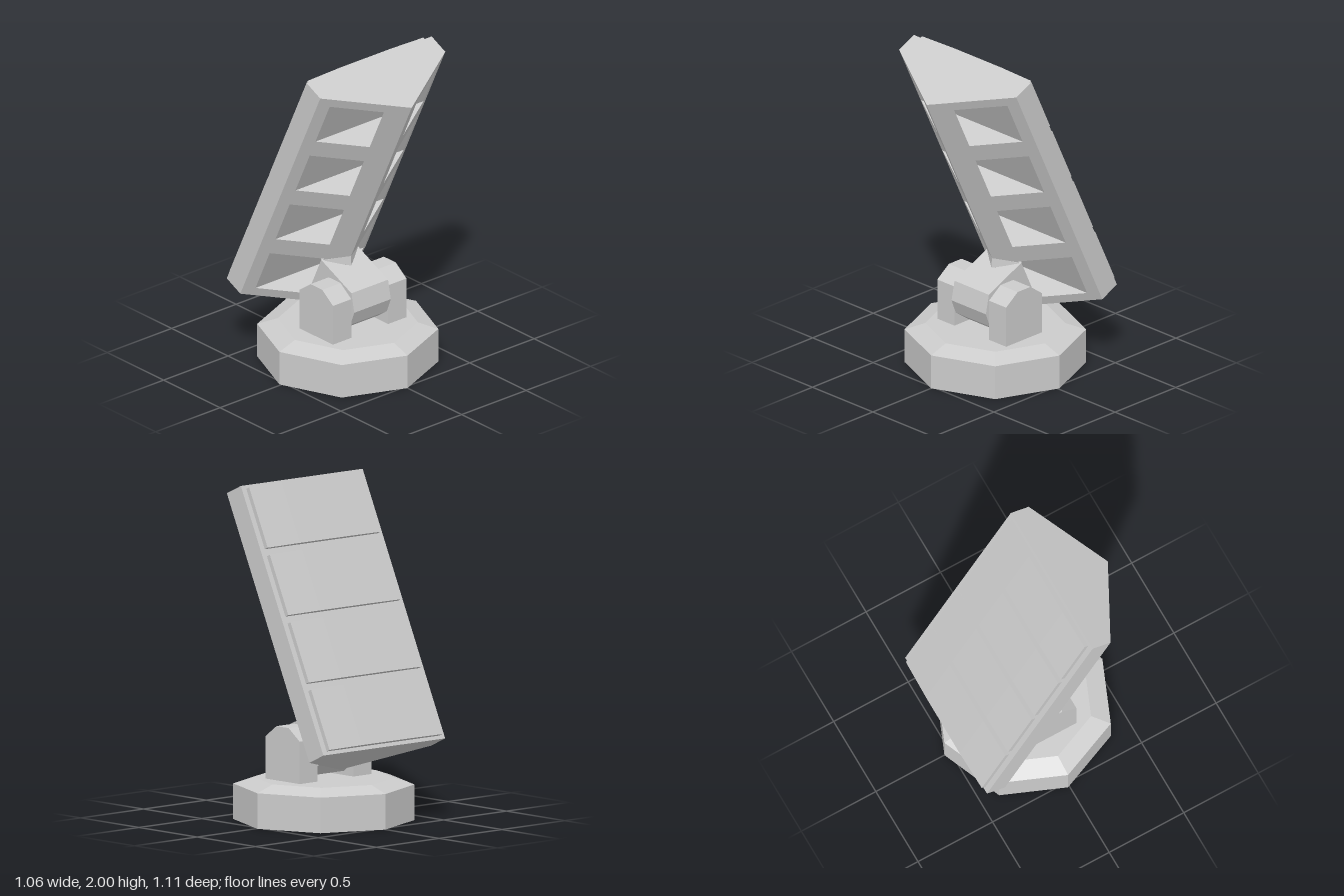
import * as THREE from 'three';
import { ConvexGeometry } from 'three/addons/geometries/ConvexGeometry.js';

const grey = new THREE.MeshStandardMaterial({ color: 0xcccccc, flatShading: true });
const greyOpen = new THREE.MeshStandardMaterial({ color: 0xcccccc, flatShading: true, side: THREE.DoubleSide });

function add(parent, name, geometry, material = grey) {
  const mesh = new THREE.Mesh(geometry, material);
  mesh.name = name;
  parent.add(mesh);
  return mesh;
}

function extrude(points, depth) {
  const shape = new THREE.Shape(points.map(([a, b]) => new THREE.Vector2(a, b)));
  return new THREE.ExtrudeGeometry(shape, { depth, bevelEnabled: false });
}

// Outline in [x, z], running from y0 up to y1
const upright = (points, y0, y1) =>
  extrude(points.map(([x, z]) => [x, -z]), y1 - y0).rotateX(-Math.PI / 2).translate(0, y0, 0);

// Outline in [z, y], running from x0 to x1
const sideways = (points, x0, x1) =>
  extrude(points, x1 - x0).rotateY(-Math.PI / 2).translate(x1, 0, 0);

// Leaves out the faces lying flat at height y
function openAt(geometry, y) {
  const p = geometry.attributes.position, kept = [];
  for (let i = 0; i < p.count; i += 3) {
    if ([0, 1, 2].every(k => Math.abs(p.getY(i + k) - y) < 1e-4)) continue;
    for (let k = 0; k < 3; k++) kept.push(p.getX(i + k), p.getY(i + k), p.getZ(i + k));
  }
  const open = new THREE.BufferGeometry();
  open.setAttribute('position', new THREE.Float32BufferAttribute(kept, 3));
  open.computeVertexNormals();
  return open;
}

const LENGTH = 1.671, DEPTH = 0.416, FLANGE = 0.133, HALF = 0.485;
const PITCH = LENGTH / 4;

function createAntenna() {
  const antenna = new THREE.Group();
  antenna.name = 'antenna';
  antenna.position.set(0, 2, 0.18);
  antenna.rotation.x = 0.438;

  // Half width of the wedge at distance d behind its ridge
  const half = d => HALF * d / (DEPTH - FLANGE);
  const d0 = 0.077, d1 = 0.245;
  const z0 = DEPTH - d0, z1 = DEPTH - d1;

  // Backing slab, with the root of the wedge
  add(antenna, 'backingSlab', upright([
    [-HALF, 0], [HALF, 0], [HALF, FLANGE], [half(d1), z1], [-half(d1), z1], [-HALF, FLANGE],
  ], -LENGTH, 0));

  // Front spine
  add(antenna, 'spine', upright([[0, DEPTH], [-half(d0), z0], [half(d0), z0]], -LENGTH, 0));

  // Ribs between the through windows
  const web = [[-half(d1), z1], [half(d1), z1], [half(d0), z0], [-half(d0), z0]];
  const gap = 0.06;
  for (let i = 0; i <= 4; i++) {
    const top = i === 0 ? 0 : -i * PITCH + gap;
    const bottom = i === 4 ? -LENGTH : -i * PITCH - gap;
    add(antenna, 'rib', upright(web, bottom, top));
  }

  // Four slightly bowed plates on the back
  const plate = [[-0.45, 0.01], [0.45, 0.01], [0.45, -0.027], [0.2, -0.034], [-0.2, -0.034], [-0.45, -0.027]];
  for (let i = 0; i < 4; i++) {
    const y = -(i + 0.5) * PITCH;
    add(antenna, 'backPlate', upright(plate, y - 0.187, y + 0.187));
  }
  return antenna;
}

export function createModel() {
  const model = new THREE.Group();
  model.name = 'tiltedArray';

  // Hollow eight-sided base, open underneath
  const profile = [[0.53, 0], [0.53, 0.21], [0.41, 0.25], [0, 0.25]];
  add(model, 'base', new THREE.LatheGeometry(profile.map(([r, y]) => new THREE.Vector2(r, y)), 8), greyOpen)
    .position.z = -0.01;

  // Pair of hinge lugs, open at the foot inside the base
  const lug = [[0.185, 0.18], [0.185, 0.5], [0.09, 0.57], [-0.015, 0.57], [-0.11, 0.5], [-0.11, 0.18]];
  for (const [name, x] of [['leftLug', 0.143], ['rightLug', -0.285]]) {
    add(model, name, openAt(sideways(lug, x, x + 0.142), 0.18), greyOpen);
  }

  // Tilting arm with a faceted barrel between the lugs
  add(model, 'hingeArm', sideways([
    [0.185, 0.537], [0.21, 0.42], [0.175, 0.33], [0.09, 0.27], [-0.03, 0.275],
    [-0.115, 0.345], [-0.205, 0.395], [-0.083, 0.658],
  ], -0.142, 0.142));

  // Pointed collar where the arm meets the spine
  add(model, 'armCollar', new ConvexGeometry([
    [0, 0.614, 0.022], [0, 0.683, 0.018], [0.142, 0.652, -0.08], [-0.142, 0.652, -0.08],
    [0.142, 0.665, -0.085], [-0.142, 0.665, -0.085], [0, 0.58, -0.08],
  ].map(p => new THREE.Vector3(...p))));

  model.add(createAntenna());
  return model;
}
